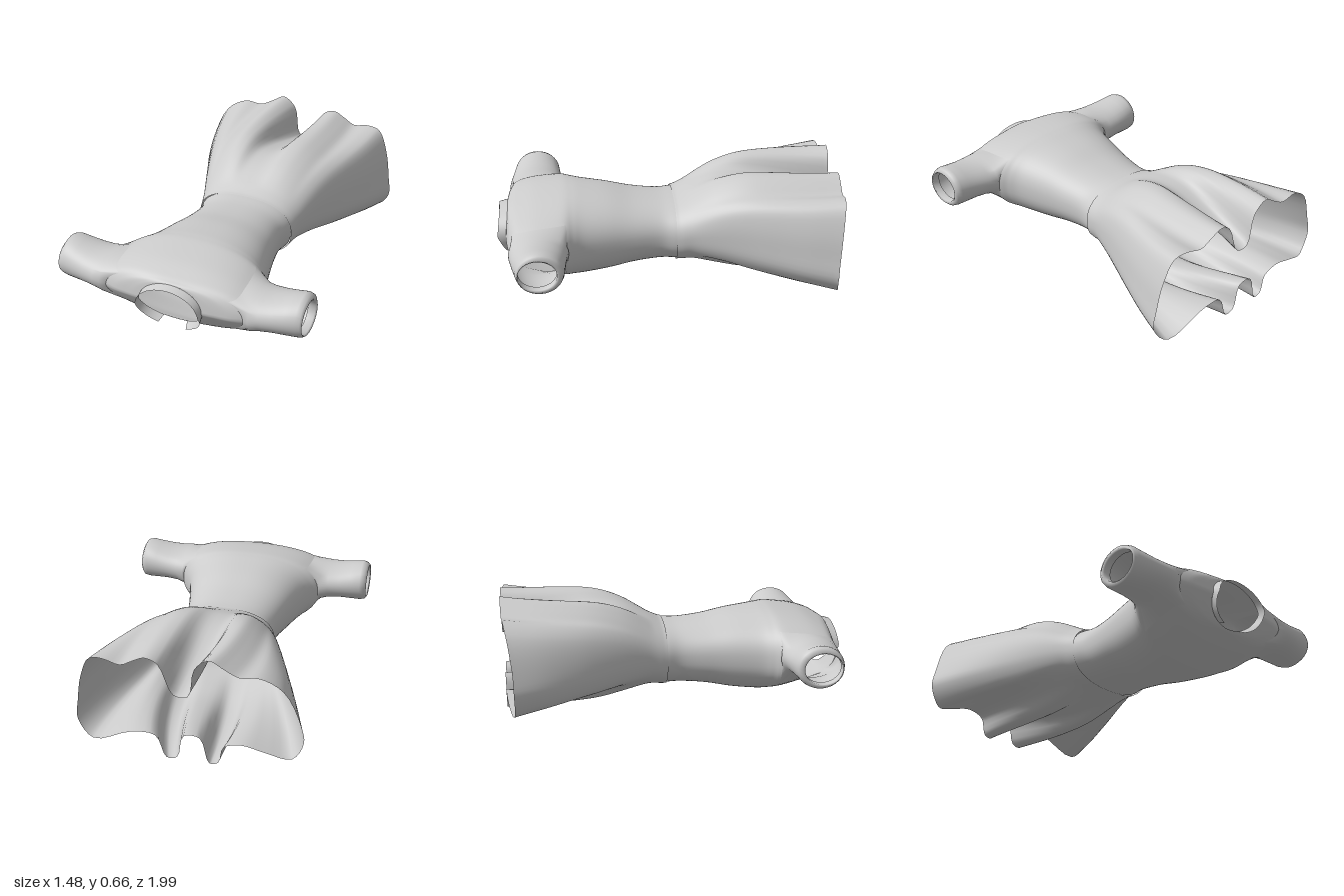
import * as THREE from 'three';

const COLS = 64;
const material = new THREE.MeshStandardMaterial({ color: 0xcccccc, side: THREE.DoubleSide });

// Surface through rows of points; rows close into rings unless open, cells can be skipped.
function loft(name, rows, { open = false, skip = () => false } = {}) {
  const n = rows[0].length;
  const index = [];
  for (let j = 0; j < rows.length - 1; j++) {
    for (let i = 0; i < (open ? n - 1 : n); i++) {
      if (skip(j, i)) continue;
      const k = (i + 1) % n;
      const a = j * n + i, b = j * n + k, c = b + n, d = a + n;
      index.push(a, b, c, a, c, d);
    }
  }
  const geometry = new THREE.BufferGeometry().setFromPoints(rows.flat());
  geometry.setIndex(index);
  geometry.computeVertexNormals();
  const mesh = new THREE.Mesh(geometry, material);
  mesh.name = name;
  return mesh;
}

// Smooth interpolation of [z, half width, bottom, top] sections.
function sections(list, count) {
  const times = list.map((_, i) => i / (list.length - 1));
  const spline = new THREE.CubicInterpolant(times, list.flat(), 4, new Float32Array(4));
  return Array.from({ length: count + 1 }, (_, j) => Array.from(spline.evaluate(j / count)));
}

// Rounded cross-section point; power 2 is an ellipse, higher is boxier.
function ringPoint([z, w, bottom, top], angle, power) {
  const bend = (v) => Math.sign(v) * Math.abs(v) ** (2 / power);
  return new THREE.Vector3(
    w * bend(Math.cos(angle)),
    (top + bottom) / 2 + ((top - bottom) / 2) * bend(Math.sin(angle)), z);
}

const angleOf = (i) => (i / COLS) * Math.PI * 2;

// The neckline leans back towards its lower edge and a little towards its top.
function neckLean(z, angle) {
  const s = Math.sin(angle);
  return (s < 0 ? -0.07 * s : 0.015 * s) * THREE.MathUtils.smoothstep(z, 0.75, 0.95);
}

function makeBodice(group) {
  const list = sections([
    [-0.05, 0.295, 0.095, 0.457], [0.05, 0.277, 0.095, 0.455], [0.2, 0.298, 0.083, 0.47],
    [0.35, 0.332, 0.057, 0.5], [0.49, 0.372, 0.046, 0.518], [0.56, 0.408, 0.053, 0.524],
    [0.63, 0.455, 0.073, 0.522], [0.78, 0.468, 0.125, 0.498], [0.89, 0.452, 0.155, 0.466],
    [0.93, 0.37, 0.168, 0.45], [0.945, 0.26, 0.176, 0.443], [0.95, 0.19, 0.18, 0.438],
  ], 66);
  const rows = list.map((s) => Array.from({ length: COLS }, (_, i) => {
    const p = ringPoint(s, angleOf(i), 2.35 - 0.35 * THREE.MathUtils.smoothstep(s[0], 0.88, 0.95));
    p.z -= neckLean(s[0], angleOf(i));
    return p;
  }));

  // Armholes: a block of cells left out on each side
  const first = list.findIndex((s) => s[0] >= 0.59);
  const last = list.findIndex((s) => s[0] >= 0.91);
  const reach = 7;
  const away = (i, middle) => ((i - middle + COLS * 1.5) % COLS) - COLS / 2;
  const skip = (j, i) => j >= first && j < last && [0, COLS / 2].some((m) => {
    const d = away(i, m);
    return d >= -reach && d < reach;
  });
  group.add(loft('bodice', rows, { skip }));

  for (const side of [1, -1]) {
    const middle = side > 0 ? 0 : COLS / 2;
    const rim = [];
    for (let j = first; j <= last; j++) {
      for (let d = -reach; d <= reach; d++) {
        if (j === first || j === last || Math.abs(d) === reach) {
          rim.push(rows[j][(middle + d + COLS) % COLS]);
        }
      }
    }
    group.add(makeSleeve(side, rim));
  }
}

// Sleeve running from the armhole rim to a cuff turned inwards
function makeSleeve(side, rim) {
  const turn = (p) => Math.atan2(p.z - 0.757, p.y - 0.32);
  const start = [...rim].sort((a, b) => side * (turn(a) - turn(b)));
  const rings = [ // x, y radius, z radius, y centre, z centre
    [0.45, 0.118, 0.171, 0.32, 0.762], [0.5, 0.107, 0.163, 0.325, 0.765],
    [0.57, 0.106, 0.154, 0.33, 0.763], [0.64, 0.114, 0.145, 0.335, 0.76],
    [0.7, 0.121, 0.137, 0.34, 0.757], [0.727, 0.115, 0.129, 0.339, 0.757],
    [0.74, 0.098, 0.116, 0.335, 0.765], [0.732, 0.088, 0.107, 0.335, 0.77],
    [0.69, 0.087, 0.106, 0.335, 0.77],
  ];
  const rows = rings.map(([x, ry, rz, y, z]) => start.map((p) => {
    const a = turn(p);
    return new THREE.Vector3(side * x, y + ry * Math.cos(a), z + rz * Math.sin(a));
  }));
  return loft(side > 0 ? 'leftSleeve' : 'rightSleeve', [start, ...rows]);
}

// Collar band with two loose ends below the neck
function makeCollar() {
  const count = 48;
  const edge = (out) => Array.from({ length: count + 1 }, (_, i) => {
    const angle = THREE.MathUtils.degToRad(-68 + (316 * i) / count);
    const s = Math.sin(angle);
    const r = 1 + out * (s < 0 ? -0.2 : -0.1) * s;
    return new THREE.Vector3(
      0.19 * r * Math.cos(angle), 0.309 + 0.129 * r * s,
      0.95 - neckLean(0.95, angle) + 0.048 * out);
  });
  return loft('collar', [edge(0), edge(0.5), edge(1)], { open: true });
}

// Skirt flaring from the waist into a folded hem
function makeSkirt() {
  const hemWidth = 0.63;
  const hem = new THREE.CatmullRomCurve3([
    [0.61, 0.28], [0.58, 0.44], [0.52, 0.57], [0.44, 0.585],
    [0.34, 0.565], [0.27, 0.6], [0.2, 0.63], [0.13, 0.6],
    [0.05, 0.42], [-0.03, 0.42], [-0.07, 0.6], [-0.15, 0.662],
    [-0.23, 0.62], [-0.31, 0.58], [-0.42, 0.585], [-0.54, 0.51],
    [-0.63, 0.3], [-0.65, 0.19], [-0.59, 0.08], [-0.45, 0.115],
    [-0.32, 0.15], [-0.22, 0.12], [-0.19, 0.015], [-0.14, 0.005],
    [-0.09, 0.16], [0, 0.16], [0.04, 0.015], [0.1, 0.005],
    [0.16, 0.14], [0.3, 0.14], [0.53, 0.045], [0.62, 0.14],
  ].map(([x, y]) => new THREE.Vector3(x, y, 0)), true);
  const list = sections([
    [-0.995, hemWidth, 0.04, 0.62], [-0.8, 0.572, 0.025, 0.64], [-0.6, 0.5, 0.027, 0.645],
    [-0.45, 0.442, 0.037, 0.633], [-0.3, 0.385, 0.068, 0.583], [-0.15, 0.33, 0.095, 0.505],
    [-0.07, 0.308, 0.092, 0.468], [-0.04, 0.3, 0.09, 0.46],
  ], 40);
  const n = COLS * 2;
  const rows = list.map((s) => {
    const fold = Math.max(0, (-0.12 - s[0]) / 0.875) ** 1.1;
    return Array.from({ length: n }, (_, i) => {
      const p = ringPoint(s, (i / n) * Math.PI * 2, 2.4);
      const h = hem.getPoint(i / n);
      p.x += ((h.x * s[1]) / hemWidth - p.x) * fold;
      p.y += (h.y - p.y) * fold;
      // The hem line is longest at the top middle and shorter at the sides and below.
      p.z += fold * (0.05 * Math.min(1, Math.abs(h.x / 0.62)) ** 4 + 0.025 * (1 - h.y / 0.66));
      return p;
    });
  });
  return loft('skirt', rows);
}

export function createModel() {
  const group = new THREE.Group();
  group.name = 'dress';
  makeBodice(group);
  group.add(makeCollar(), makeSkirt());
  return group;
}
